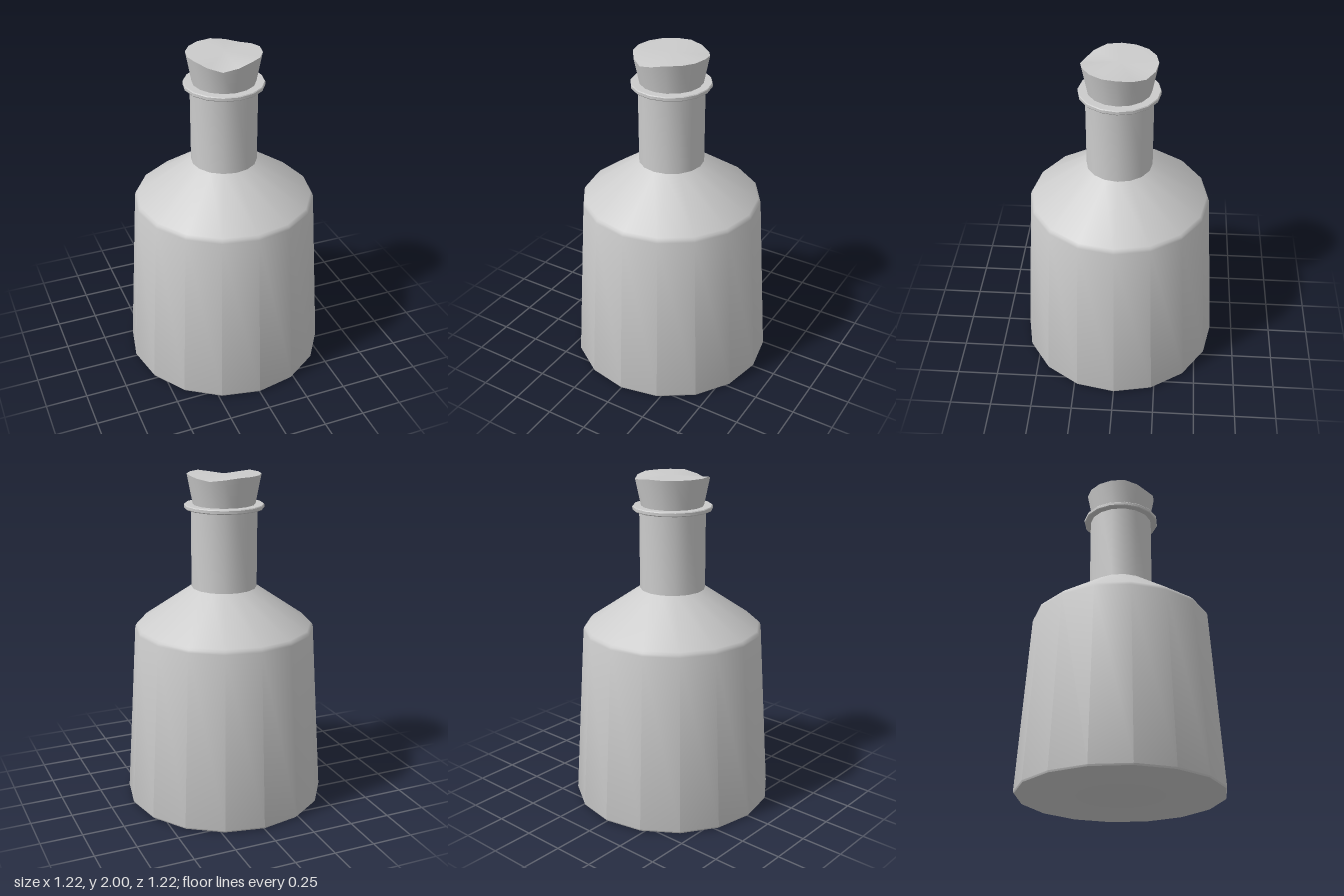
import * as THREE from 'three';
import { toCreasedNormals } from 'three/addons/utils/BufferGeometryUtils.js';

const SIDES = 16;
const CREASE = 0.6;

// Sixteen-sided turned part from [radius, height] pairs
function turned(name, profile, reshape) {
  const points = profile.map(([r, y]) => new THREE.Vector2(r, y));
  const geometry = new THREE.LatheGeometry(points, SIDES);
  if (reshape) reshape(geometry.attributes.position);
  const material = new THREE.MeshStandardMaterial({ color: 0xcccccc });
  const mesh = new THREE.Mesh(toCreasedNormals(geometry, CREASE), material);
  mesh.name = name;
  return mesh;
}

// Uneven rim of the stopper: two worn dips, given as [angle in degrees, depth]
function wearRim(position) {
  const dips = [[-22.5, 0.035], [135, 0.02]];
  for (let i = 0; i < position.count; i++) {
    const x = position.getX(i), z = position.getZ(i);
    if (position.getY(i) < 1.99 || Math.hypot(x, z) < 0.1) continue;
    const angle = THREE.MathUtils.radToDeg(Math.atan2(x, z));
    for (const [centre, depth] of dips) {
      const drop = depth * Math.max(0, 1 - Math.abs(angle - centre) / 45);
      position.setY(i, position.getY(i) - drop);
    }
  }
}

export function createModel() {
  const bottle = new THREE.Group();
  bottle.name = 'bottle';

  // Tapered body with a softened base and shoulder
  bottle.add(turned('body', [
    [0, 0], [0.593, 0], [0.603, 0.004], [0.608, 0.014],
    [0.54, 1.075], [0.535, 1.09], [0.524, 1.102], [0.195, 1.33],
  ]));

  // Straight neck
  bottle.add(turned('neck', [[0.195, 1.33], [0.195, 1.802]]));

  // Thin flange around the mouth
  bottle.add(turned('collar', [
    [0.19, 1.8], [0.231, 1.8], [0.235, 1.805], [0.235, 1.821],
    [0.231, 1.826], [0.165, 1.826],
  ]));

  // Flared stopper
  bottle.add(turned('stopper', [
    [0, 1.78], [0.175, 1.78], [0.217, 2], [0, 2],
  ], wearRim));

  return bottle;
}
